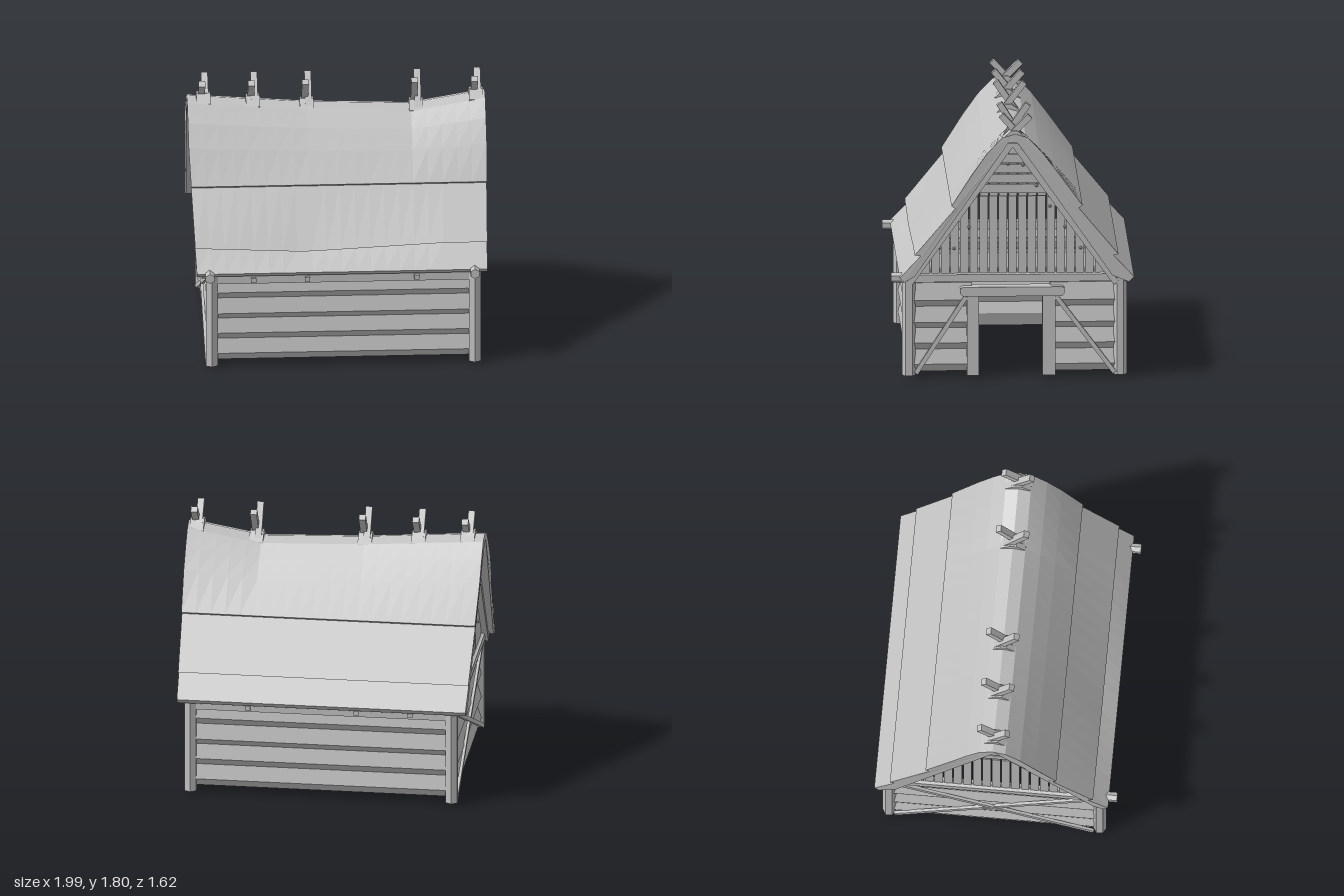
import * as THREE from 'three';

const timber = new THREE.MeshStandardMaterial({ color: 0xc2c2c2, flatShading: true });
timber.name = 'plainGrey';

function add(parent, name, geometry) {
  const mesh = new THREE.Mesh(geometry, timber);
  mesh.name = name;
  parent.add(mesh);
  return mesh;
}

// Closed outline of [z, y] points extruded along x
function extrudeX(points, x0, x1, steps = 1) {
  const shape = new THREE.Shape(points.map(([z, y]) => new THREE.Vector2(-z, y)));
  const g = new THREE.ExtrudeGeometry(shape, { depth: x1 - x0, steps, bevelEnabled: false });
  return g.rotateY(Math.PI / 2).translate(x0, 0, 0);
}

// Square timber running from a to b
function beam(parent, name, a, b, w, h) {
  const from = new THREE.Vector3(...a), to = new THREE.Vector3(...b);
  const mesh = add(parent, name, new THREE.BoxGeometry(w, h, from.distanceTo(to)));
  mesh.position.copy(from).lerp(to, 0.5);
  mesh.lookAt(to);
  return mesh;
}

function box(parent, name, x0, x1, y0, y1, z0, z1) {
  add(parent, name, new THREE.BoxGeometry(x1 - x0, y1 - y0, z1 - z0))
    .position.set((x0 + x1) / 2, (y0 + y1) / 2, (z0 + z1) / 2);
}

// Stacked logs: heights alternate between seam and ridge
function logWall(heights, length) {
  const side = (s) => heights.map((y, i) => [s * (i % 2 ? 0.04 : 0.015), y]);
  return extrudeX([...side(1), ...side(-1).reverse()], -length / 2, length / 2);
}

// Height of the gable opening's edge at distance z from the centre
const slopeY = (z) => 1.57 - Math.abs(z) * 1.395;
const slopeZ = (y) => (1.57 - y) / 1.395;

// Ridge sag along x
function sag(x) {
  const keys = [[-1, 0], [-0.2, -0.06], [0.5, -0.085], [1, 0]];
  for (let i = 0; i < 3; i++) {
    const [xa, ya] = keys[i], [xb, yb] = keys[i + 1];
    if (x <= xb) return THREE.MathUtils.lerp(ya, yb, Math.max(0, (x - xa) / (xb - xa)));
  }
  return 0;
}

// Three overlapping courses of thatch on each side
function thatch() {
  const front = [[0.07, 1.645], [0.17, 1.54], [0.27, 1.4], [0.41, 1.18], [0.385, 1.163],
    [0.655, 0.845], [0.615, 0.84], [0.755, 0.69], [0.725, 0.66], [0.655, 0.7]];
  const back = [[-0.1, 1.645], [-0.19, 1.55], [-0.29, 1.42], [-0.465, 1.18], [-0.44, 1.163],
    [-0.705, 0.845], [-0.67, 0.84], [-0.81, 0.69], [-0.775, 0.655], [-0.665, 0.7]];
  const outline = [[-0.015, 1.67], ...front, [0.03, 1.61], [-0.03, 1.61], ...back.reverse()];
  const g = extrudeX(outline, -1, 1, 20);
  const p = g.attributes.position;
  for (let i = 0; i < p.count; i++) {
    const x = p.getX(i), y = p.getY(i), z = p.getZ(i);
    const high = THREE.MathUtils.clamp((y - 1.18) / 0.45, 0, 1);
    let dy = sag(x) * high;
    if (z > 0.6 && y > 0.83) dy -= 0.045 * Math.max(0, 1 - Math.abs(x + 0.25) / 0.95);
    const lean = THREE.MathUtils.clamp((y - 0.7) / 0.7, 0, 1);
    p.setX(i, x * (0.97 + (x < 0 ? 0.03 : 0.02) * lean));
    p.setY(i, y + dy);
  }
  g.computeVertexNormals();
  return g;
}

// Boarded gable with rafters and tie beam; s is the end of the house
function gable(s) {
  const end = new THREE.Group();
  end.name = s > 0 ? 'leftGable' : 'rightGable';
  const x = s * 0.885;
  const boards = 19, pitch = 1.22 / boards;
  for (let i = 0; i < boards; i++) {
    const a = -0.61 + i * pitch + 0.004, b = a + pitch - 0.008;
    const top = (z) => Math.max(0.69, Math.min(1.23, slopeY(z) + 0.02));
    add(end, 'verticalBoard', extrudeX([[a, 0.68], [b, 0.68], [b, top(b)], [a, top(a)]],
      x - 0.01, x + 0.01));
  }
  for (let i = 0; i < 4; i++) {
    const a = 1.25 + i * 0.068, b = a + 0.06;
    const za = slopeZ(a) + 0.015, zb = slopeZ(b) + 0.015;
    add(end, 'crossBoard', extrudeX([[-za, a], [za, a], [zb, b], [-zb, b]], x - 0.01, x + 0.01));
  }
  for (const m of [1, -1]) {
    beam(end, 'gableRafter', [x + s * 0.015, 0.64, m * 0.692], [x + s * 0.015, 1.6, m * 0.004], 0.07, 0.042);
  }
  // Pegs
  for (const [z, y] of [[0.39, 0.875], [-0.455, 0.875], [-0.35, 1.02], [0.29, 1.02],
    [-0.25, 1.16], [0.03, 1.45], [-0.07, 1.44], [-0.16, 1.3]]) {
    add(end, 'peg', new THREE.IcosahedronGeometry(0.012, 0)).position.set(x + s * 0.014, y, z);
  }
  const tie = add(end, 'tieBeam', new THREE.CylinderGeometry(0.034, 0.034, 1.58, 6));
  tie.rotation.x = Math.PI / 2;
  tie.position.set(s * 0.885, 0.678, 0.02);
  box(end, 'tieBoard', x - 0.03, x + 0.03, 0.65, 0.7, -0.76, 0.74);
  return end;
}

// Crossed sticks astride a saddle block on the ridge
function ridgeCross(x) {
  const cross = new THREE.Group();
  cross.name = 'ridgeCross';
  const y = 1.645 + sag(x);
  add(cross, 'saddle', extrudeX([[0.075, y - 0.03], [0.07, y], [0.01, y + 0.055], [-0.03, y + 0.055],
    [-0.1, y], [-0.11, y - 0.03]], x - 0.047, x + 0.047));
  beam(cross, 'crossStick', [x - 0.012, y - 0.01, -0.07], [x - 0.012, 1.785, 0.075], 0.045, 0.042);
  beam(cross, 'crossStick', [x + 0.012, y - 0.01, 0.045], [x + 0.012, 1.785, -0.115], 0.045, 0.042);
  return cross;
}

export function createModel() {
  const house = new THREE.Group();
  house.name = 'thatchedHouse';

  add(house, 'thatchedRoof', thatch());
  house.add(gable(1), gable(-1));
  for (const x of [-0.89, -0.56, -0.2, 0.53, 0.93]) house.add(ridgeCross(x));

  // Log walls
  const logs = [0.05, 0.1, 0.2, 0.245, 0.345, 0.385, 0.49, 0.535, 0.65];
  const endLogs = [0, 0.085, 0.16, 0.235, 0.325, 0.4, 0.49, 0.57, 0.65];
  add(house, 'frontWall', logWall(logs, 1.7)).position.z = 0.665;
  add(house, 'backWall', logWall(logs, 1.7)).position.z = -0.695;
  const farWall = add(house, 'closedEndWall', logWall(endLogs, 1.34));
  farWall.rotation.y = Math.PI / 2;
  farWall.position.set(-0.85, 0, -0.015);
  for (const [a, b] of [[0.27, 0.66], [-0.69, -0.25]]) {
    const wall = add(house, 'doorSideWall', logWall(logs.map((y) => y - 0.01), b - a));
    wall.rotation.y = Math.PI / 2;
    wall.position.set(0.865, 0, (a + b) / 2);
  }

  // Corner posts
  for (const x of [-0.868, 0.888]) {
    for (const z of [0.692, -0.718]) {
      add(house, 'cornerPost', new THREE.CylinderGeometry(0.045, 0.045, 0.66, 6)).position.set(x, 0.345, z);
    }
  }

  // Wall plates and joists
  for (const z of [0.675, -0.705]) box(house, 'wallPlate', -0.86, 0.88, 0.6, 0.68, z - 0.035, z + 0.035);
  for (const x of [-0.59, -0.23, 0.5]) box(house, 'joist', x - 0.017, x + 0.017, 0.615, 0.645, -0.755, 0.735);

  // Doorway
  box(house, 'doorPost', 0.83, 0.925, 0.015, 0.57, 0.225, 0.305);
  box(house, 'doorPost', 0.83, 0.925, 0.015, 0.57, -0.285, -0.2);
  add(house, 'doorLintel', extrudeX([[0.35, 0.575], [0.33, 0.557], [-0.33, 0.557], [-0.345, 0.575],
    [-0.345, 0.61], [-0.33, 0.62], [0.33, 0.62], [0.35, 0.61]], 0.84, 0.945));

  // Diagonal braces
  beam(house, 'brace', [0.91, 0.03, 0.645], [0.91, 0.55, 0.31], 0.02, 0.03);
  beam(house, 'brace', [0.91, 0.03, -0.68], [0.91, 0.55, -0.29], 0.02, 0.03);
  beam(house, 'brace', [-0.895, 0.03, -0.68], [-0.895, 0.63, 0.65], 0.02, 0.03);
  beam(house, 'brace', [-0.9, 0.03, 0.65], [-0.9, 0.63, -0.68], 0.02, 0.03);

  return house;
}
